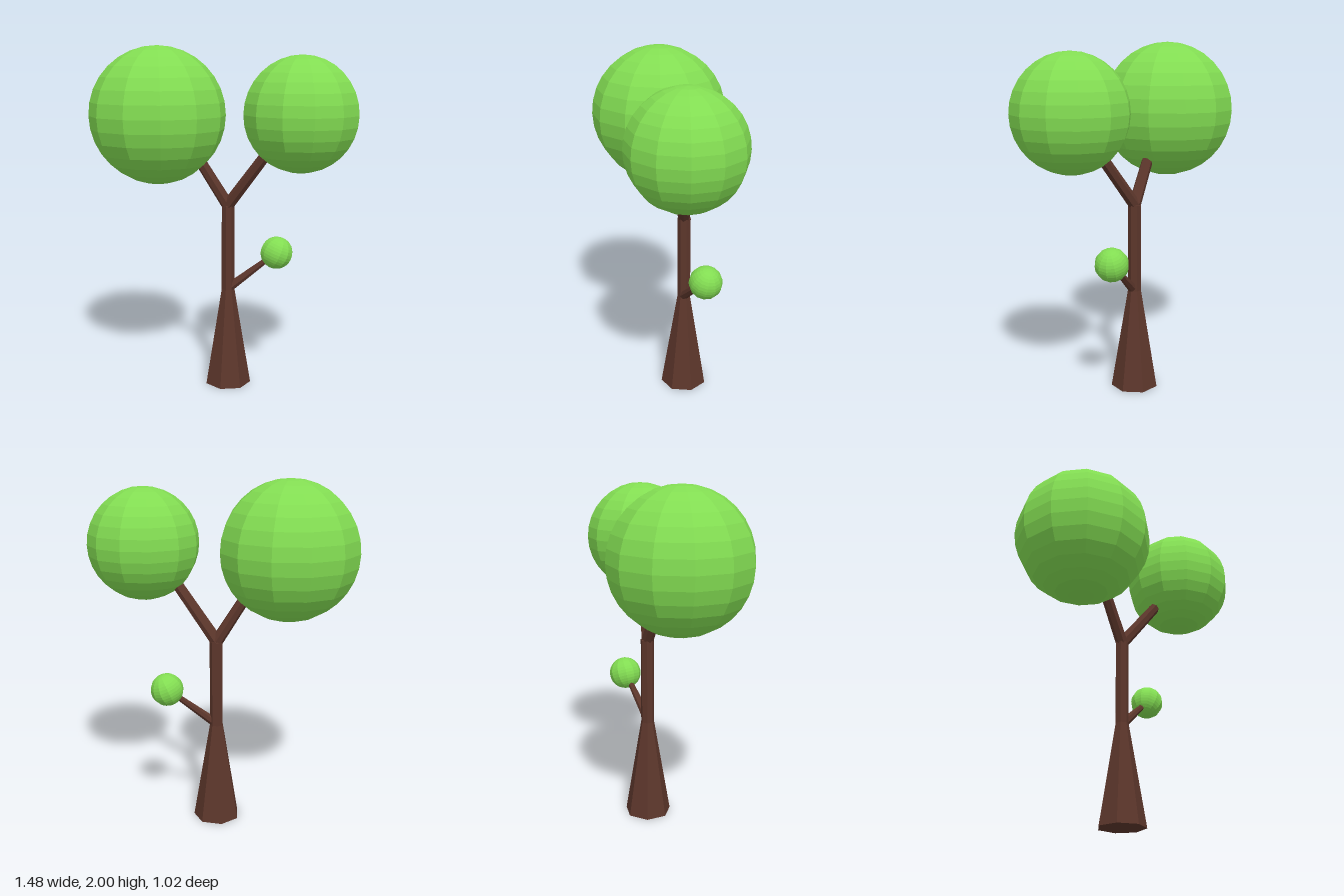
import * as THREE from 'three';

const bark = new THREE.MeshStandardMaterial({ color: 0x5c362b, flatShading: true });
const leaf = new THREE.MeshStandardMaterial({ color: 0x82dc52, flatShading: true });
const v = (x, y, z) => new THREE.Vector3(x, y, z);

// Tapered seven-sided limb between two points
function limb(name, from, to, r0, r1) {
  const dir = to.clone().sub(from);
  const mesh = new THREE.Mesh(new THREE.CylinderGeometry(r1, r0, dir.length(), 7), bark);
  mesh.name = name;
  mesh.position.copy(from).add(to).multiplyScalar(0.5);
  mesh.quaternion.setFromUnitVectors(v(0, 1, 0), dir.normalize());
  return mesh;
}

// Faceted ball of foliage
function foliage(name, center, radius, tilt = 0) {
  const mesh = new THREE.Mesh(new THREE.SphereGeometry(radius, 12, 16), leaf);
  mesh.name = name;
  mesh.position.copy(center);
  mesh.rotation.z = tilt;
  return mesh;
}

export function createModel() {
  const tree = new THREE.Group();
  tree.name = 'tree';

  // Trunk: flared foot, then a straight upper stem
  const profile = [[0, 0], [0.137, 0], [0.039, 0.585], [0.039, 1.09], [0, 1.1]]
    .map(([r, y]) => new THREE.Vector2(r, y));
  const trunk = new THREE.Mesh(new THREE.LatheGeometry(profile, 7), bark);
  trunk.name = 'trunk';
  trunk.position.set(0.047, 0, -0.042);
  trunk.rotation.y = Math.PI;
  tree.add(trunk);

  // Forked main branches and a small side branch
  const fork = v(0.046, 1.09, -0.041);
  tree.add(
    limb('rightBranch', fork, v(-0.175, 1.45, -0.09), 0.036, 0.031),
    limb('leftBranch', fork, v(0.29, 1.47, 0.13), 0.036, 0.031),
    limb('sideBranch', v(0.05, 0.59, -0.035), v(0.3, 0.785, -0.003), 0.028, 0.015),
  );

  // Foliage
  tree.add(
    foliage('rightFoliage', v(-0.35, 1.607, -0.12), 0.393),
    foliage('leftFoliage', v(0.42, 1.627, 0.19), 0.32),
    foliage('sideFoliage', v(0.33, 0.807, 0), 0.095, -0.4),
  );
  return tree;
}
